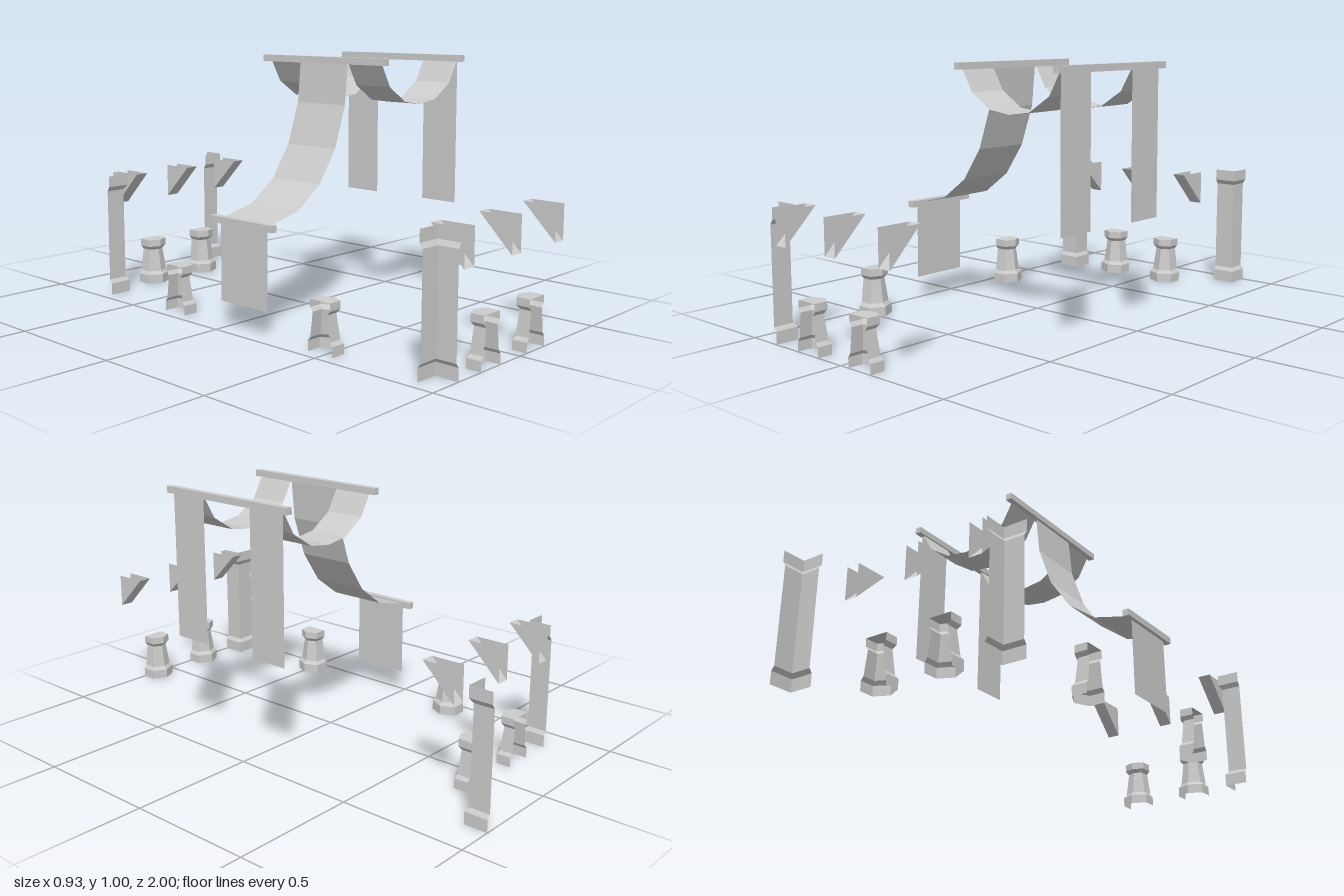
import * as THREE from 'three';

const stone = new THREE.MeshStandardMaterial({ color: 0xcccccc, side: THREE.DoubleSide });
stone.name = 'pale grey';

// Open faceted surface through rows of [x, y, z] points
function loft(rows) {
  const pos = [];
  for (let j = 0; j < rows.length - 1; j++) {
    for (let i = 0; i < rows[j].length - 1; i++) {
      const a = rows[j][i], b = rows[j][i + 1], c = rows[j + 1][i + 1], d = rows[j + 1][i];
      pos.push(...a, ...b, ...c, ...a, ...c, ...d);
    }
  }
  const g = new THREE.BufferGeometry();
  g.setAttribute('position', new THREE.Float32BufferAttribute(pos, 3));
  g.computeVertexNormals();
  return g;
}

export function createModel() {
  const model = new THREE.Group();
  function add(name, geo, x = 0, y = 0, z = 0, turn = 0) {
    const m = new THREE.Mesh(geo, stone);
    m.name = name;
    m.position.set(x, y, z);
    m.rotation.y = turn;
    model.add(m);
  }

  // Corner pillars: two open faces meeting at a corner, wider at foot and head
  const pillar = loft([[0, 0.093], [0.048, 0.093], [0.063, 0.081], [0.437, 0.081], [0.455, 0.093], [0.5, 0.093]]
    .map(([y, w]) => [[0, y, w], [w, y, w], [w, y, 0]]));
  add('frontCornerPillar', pillar, -0.457, 0, 1, Math.PI / 2);
  add('backCornerPillar', pillar, -0.457, 0, -0.785);
  add('farCornerPillar', pillar, 0.262, 0, -1);

  // Pedestals: half columns with a pointed front, closed on top, open behind
  const plan = (y, w) => {
    const apex = 0.088 - (0.057 - w) * 1.15, side = 0.06 - (0.057 - w) * 0.58;
    return [[-w, y, 0], [-w, y, side], [0, y, apex], [w, y, side], [w, y, 0]];
  };
  const pedestalRows = [[0, 0.057], [0.038, 0.057], [0.052, 0.046], [0.146, 0.034], [0.161, 0.046], [0.19, 0.046]]
    .map(([y, w]) => plan(y, w));
  pedestalRows.push(Array(5).fill([0, 0.19, 0]));
  const pedestal = loft(pedestalRows);
  for (const x of [-0.18, 0.098]) {
    add('frontPedestal', pedestal, x, 0, 1, Math.PI);
    add('backPedestal', pedestal, x, 0, -0.785);
  }
  for (const z of [-0.285, 0.486]) add('sidePedestal', pedestal, -0.457, 0, z, Math.PI / 2);

  // Wall brackets: sloped wedge with two triangular cheeks
  const h = 0.027, d = 0.135;
  const bracket = loft([
    [[-h, 0.365, 0], [-h, 0.365, 0], [h, 0.365, 0], [h, 0.365, 0]],
    [[-h, 0.5, 0], [-h, 0.5, d], [h, 0.5, d], [h, 0.5, 0]],
  ]);
  for (const x of [-0.318, -0.043, 0.234]) {
    add('frontBracket', bracket, x, 0, 1, Math.PI);
    add('backBracket', bracket, x, 0, -0.785);
  }

  // Poles carrying the cloths
  const pole = (name, x, y, z0, z1) =>
    add(name, new THREE.BoxGeometry(0.026, 0.026, z1 - z0), x, y, (z0 + z1) / 2);
  pole('middlePole', -0.024, 0.987, -0.208, 0.417);
  pole('outerPole', 0.452, 0.987, -0.208, 0.417);
  pole('lowPole', -0.456, 0.41, -0.058, 0.265);

  // Cloths: thin sheets following a side profile
  const cloth = (name, profile, z0, z1) =>
    add(name, loft(profile.map(([x, y]) => [[x, y, z0], [x, y, z1]])));
  const sag = [[-0.024, 0.985], [0.028, 0.893], [0.12, 0.833], [0.214, 0.82],
    [0.308, 0.833], [0.4, 0.893], [0.452, 0.985], [0.454, 0.405]];
  cloth('backCloth', sag, -0.178, -0.014);
  cloth('frontCloth', sag, 0.228, 0.392);
  cloth('longCloth', [[-0.024, 0.985], [-0.04, 0.82], [-0.095, 0.66], [-0.18, 0.535],
    [-0.295, 0.45], [-0.455, 0.412], [-0.457, 0.1]], -0.014, 0.23);

  return model;
}
